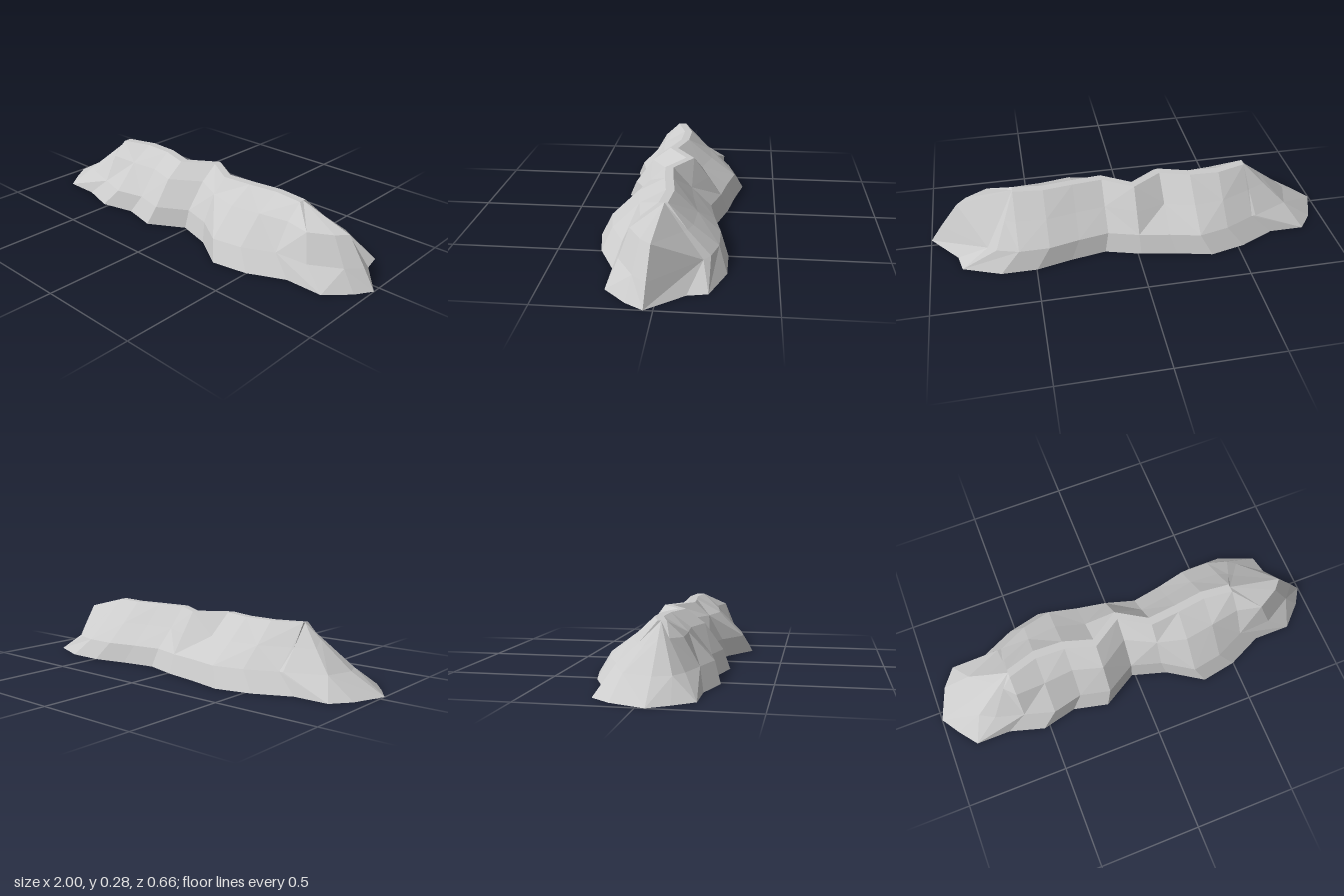
import * as THREE from 'three';

// Low-poly rocky ridge, open underneath: columns run round the outline,
// and each column climbs from ground to foot, shoulder and crest.
const CREST_Y = 0.283, FOOT_Y = 0.09;
const CREST_WIDTH = 0.04;

// z at evenly spaced stations, from -x to +x
const frontZ = [0.22, 0.27, 0.23, 0.27, 0.17, 0.22, 0.33, 0.3, 0.22];
const backZ = [-0.21, -0.29, -0.33, -0.29, -0.26, -0.21, -0.24, -0.28, -0.28];
const crestZ = [0.045, 0, 0.005, 0.05, -0.045, 0.045, 0.03, 0.01, 0.025];

// End columns: ground x, z then foot x, z; each end has one notch at the back
const leftEnd = [
  [-0.87, -0.21, -0.62, -0.18], [-0.94, -0.12, -0.8, -0.1], [-1, 0.04, -0.84, 0.03],
  [-0.94, 0.13, -0.81, 0.11], [-0.87, 0.22, -0.74, 0.15],
];
const rightEnd = [
  [0.85, 0.22, 0.74, 0.18], [0.95, 0.12, 0.88, 0.1], [1, 0.04, 0.94, 0.035],
  [0.87, -0.12, 0.72, -0.18], [0.85, -0.21, 0.68, -0.21],
];

const lerp = THREE.MathUtils.lerp;
const shoulderY = (z) => (z < 0 ? 0.183 : 0.215);

// Column on a long side: foot and shoulder follow from ground and crest
function sideColumn(z, i, crest) {
  const x = -0.6 + 0.147 * i;
  return [
    [-0.7 + 0.171 * i, 0, z],
    [x, FOOT_Y, z * 0.86],
    [x, shoulderY(z), lerp(crest, z, 0.42)],
    [x, CREST_Y, crest],
  ];
}

// Column on an end: shoulder lies between the crest tip and the foot
function endColumn([x, z, footX, footZ], tip, reach) {
  const s = footZ < 0 ? 0.5 : reach;
  return [
    [x, 0, z],
    [footX, FOOT_Y, footZ],
    [lerp(tip[0], footX, s), shoulderY(footZ), lerp(tip[2], footZ, s)],
    tip,
  ];
}

function createRidgeGeometry() {
  const front = frontZ.map((z, i) => sideColumn(z, i, crestZ[i]));
  const back = backZ.map((z, i) => sideColumn(z, i, crestZ[i] - CREST_WIDTH));
  const leftTip = [-0.6, CREST_Y, 0.02];
  const rightTip = [0.576, CREST_Y, 0];
  const columns = [
    ...front,
    ...rightEnd.map((c) => endColumn(c, rightTip, 0.75)),
    ...back.slice().reverse(),
    ...leftEnd.map((c) => endColumn(c, leftTip, 0.35)),
  ];

  const out = [];
  const quad = (a, b, c, d, flip) => {
    if (flip) out.push(...a, ...b, ...d, ...b, ...c, ...d);
    else out.push(...a, ...b, ...c, ...a, ...c, ...d);
  };

  // Slopes, with alternating diagonals
  columns.forEach((col, i) => {
    const next = columns[(i + 1) % columns.length];
    for (let k = 0; k < 3; k++) {
      quad(col[k], next[k], next[k + 1], col[k + 1], (i + k) % 2 === 0);
    }
  });

  // Narrow flat strip along the top
  for (let i = 0; i < front.length - 1; i++) {
    quad(front[i][3], front[i + 1][3], back[i + 1][3], back[i][3]);
  }

  const geometry = new THREE.BufferGeometry();
  geometry.setAttribute('position', new THREE.Float32BufferAttribute(out, 3));
  geometry.computeVertexNormals();
  return geometry;
}

export function createModel() {
  const group = new THREE.Group();
  group.name = 'rockRidge';
  const material = new THREE.MeshStandardMaterial({
    color: 0xcccccc, flatShading: true, side: THREE.DoubleSide,
  });
  const ridge = new THREE.Mesh(createRidgeGeometry(), material);
  ridge.name = 'ridgeShell';
  group.add(ridge);
  return group;
}
